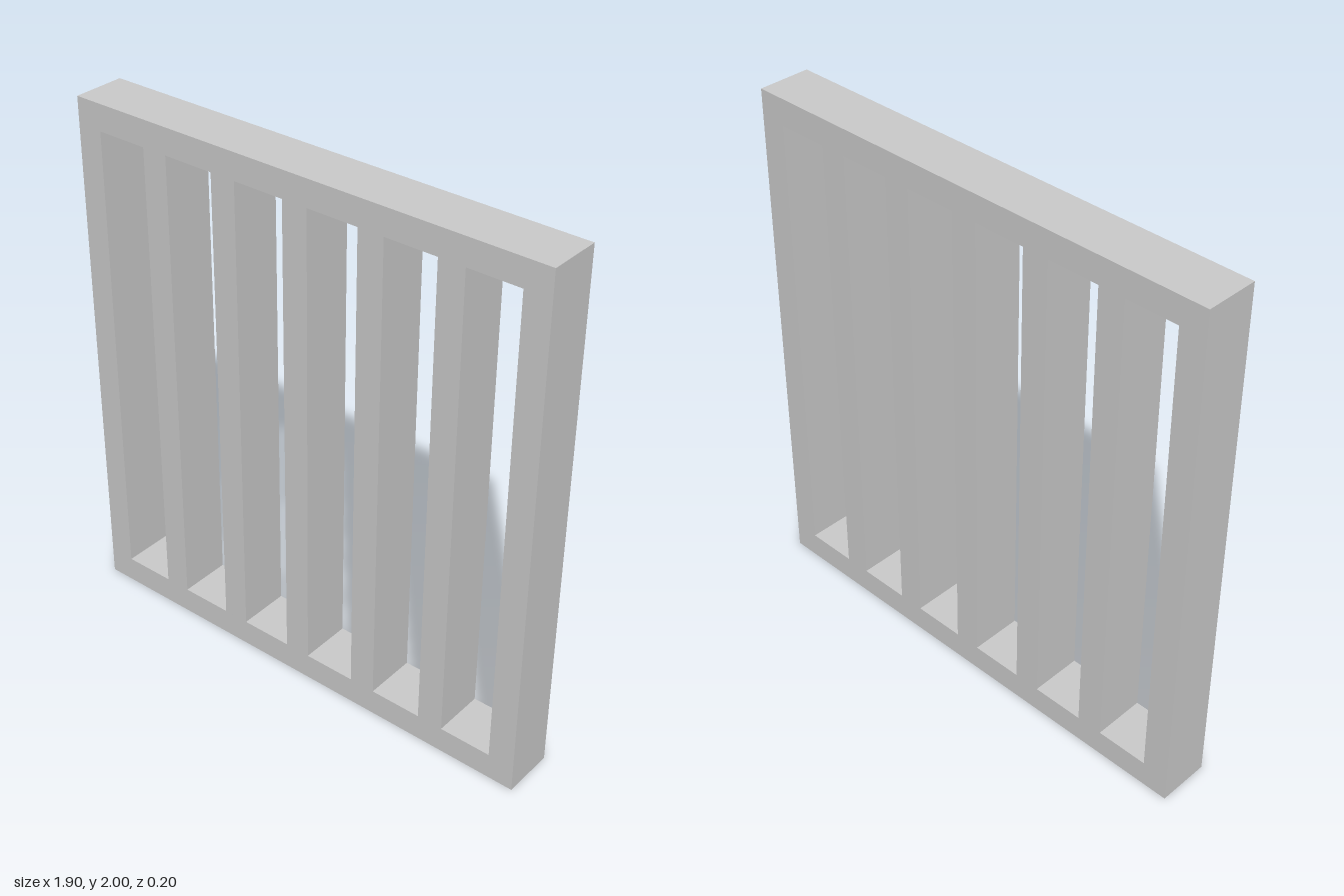
import * as THREE from 'three';

const WIDTH = 1.9, HEIGHT = 2, DEPTH = 0.2;
const BAR = 0.1;      // width of rails, posts and bars
const OPENINGS = 6;

// Closed rectangle from its lower left corner
function rectangle(path, x, y, w, h) {
  path.moveTo(x, y);
  path.lineTo(x + w, y);
  path.lineTo(x + w, y + h);
  path.lineTo(x, y + h);
  path.closePath();
  return path;
}

export function createModel() {
  const group = new THREE.Group();
  group.name = 'barredGrate';

  // Outer frame outline
  const outline = rectangle(new THREE.Shape(), -WIDTH / 2, 0, WIDTH, HEIGHT);

  // Evenly spaced openings leave the upright bars between them
  const gap = (WIDTH - BAR * (OPENINGS + 1)) / OPENINGS;
  for (let i = 0; i < OPENINGS; i++) {
    const x = -WIDTH / 2 + BAR + i * (gap + BAR);
    outline.holes.push(rectangle(new THREE.Path(), x, BAR, gap, HEIGHT - 2 * BAR));
  }

  const geometry = new THREE.ExtrudeGeometry(outline, { depth: DEPTH, bevelEnabled: false });
  geometry.translate(0, 0, -DEPTH / 2);

  const grate = new THREE.Mesh(geometry, new THREE.MeshStandardMaterial({ color: 0xcccccc }));
  grate.name = 'frameWithBars';
  group.add(grate);
  return group;
}
